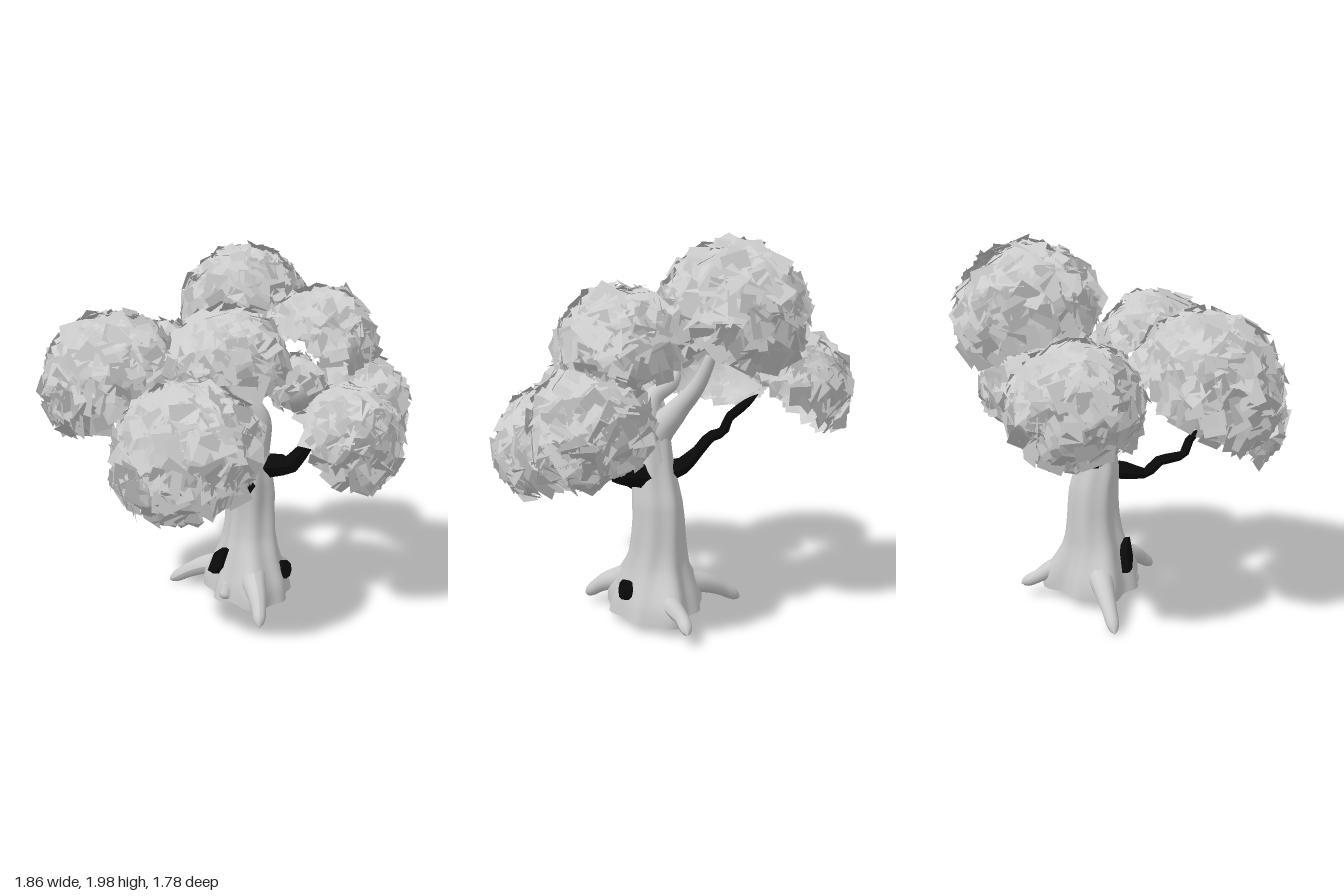
import * as THREE from 'three';
import { mergeGeometries } from 'three/addons/utils/BufferGeometryUtils.js';

const V = (a) => new THREE.Vector3(...a);
const grey = new THREE.MeshStandardMaterial({ color: 0xcccccc });
const leafGrey = new THREE.MeshStandardMaterial({ color: 0xcccccc, side: THREE.DoubleSide });
const black = new THREE.MeshStandardMaterial({ color: 0x0a0a0a });
const blackFlat = new THREE.MeshStandardMaterial({ color: 0x0a0a0a, flatShading: true });

// Small seeded generator
let seed = 7;
function rand(min = 0, max = 1) {
  seed = (seed * 16807) % 2147483647;
  return min + (max - min) * (seed / 2147483647);
}

// Linear lookup in evenly spaced values
function sample(list, t) {
  const f = Math.min(t, 0.99999) * (list.length - 1), i = Math.floor(f);
  return THREE.MathUtils.lerp(list[i], list[i + 1], f - i);
}

// Tapered tube through points, closed to a blunt tip; crooked ones keep their corners
function limb(name, points, radii, sides, material, crooked = false) {
  const curve = new THREE.CatmullRomCurve3(points.map(V), false, 'catmullrom', crooked ? 0.1 : 0.5);
  const segs = crooked ? (points.length - 1) * 3 : 24;
  const geo = new THREE.TubeGeometry(curve, segs, 1, sides);
  const pos = geo.attributes.position, p = new THREE.Vector3();
  for (let i = 0; i <= segs; i++) {
    const t = i / segs, c = curve.getPointAt(t);
    const r = sample(radii, t) * Math.min(1, Math.sqrt((1 - t) * 10));
    for (let j = 0; j <= sides; j++) {
      const k = i * (sides + 1) + j;
      p.fromBufferAttribute(pos, k).sub(c).multiplyScalar(Math.max(r, 0.0005)).add(c);
      pos.setXYZ(k, p.x, p.y, p.z);
    }
  }
  geo.computeVertexNormals();
  const mesh = new THREE.Mesh(geo, material);
  mesh.name = name;
  return mesh;
}

// Fluted trunk that swells towards each root
function makeTrunk() {
  const y0 = 0.08, y1 = 1.0;
  const radii = [0.22, 0.205, 0.18, 0.16, 0.145, 0.137, 0.133, 0.13, 0.122, 0.108, 0.095, 0.085];
  const cx = [0.09, 0.09, 0.085, 0.08, 0.075, 0.075, 0.075, 0.08, 0.085, 0.09, 0.09, 0.09];
  const cz = [-0.19, -0.19, -0.19, -0.19, -0.2, -0.205, -0.205, -0.2, -0.185, -0.18, -0.18, -0.18];
  const rootAngles = [3.02, 0.92, -1.57];
  const geo = new THREE.CylinderGeometry(1, 1, 1, 64, 30);
  const pos = geo.attributes.position;
  for (let i = 0; i < pos.count; i++) {
    const t = pos.getY(i) + 0.5, x = pos.getX(i), z = pos.getZ(i);
    const angle = Math.atan2(z, x), a = angle + 0.35 * t;
    const flute = 1 + (0.03 + 0.03 * (1 - t)) * Math.sin(7 * a + 0.6) + 0.03 * Math.sin(4 * a + 3 * t);
    let r = sample(radii, t) * flute;
    for (const ra of rootAngles) {
      const d = Math.atan2(Math.sin(angle - ra), Math.cos(angle - ra));
      r += 0.075 * Math.exp(-((d / 0.38) ** 2)) * Math.exp(-(((t - 0.07) / 0.18) ** 2));
    }
    pos.setXYZ(i, sample(cx, t) + x * r, y0 + (y1 - y0) * t, sample(cz, t) + z * r);
  }
  geo.computeVertexNormals();
  const mesh = new THREE.Mesh(geo, grey);
  mesh.name = 'trunk';
  return mesh;
}

// Flat dark opening lying on the bark
function hollow(name, outline, position, yaw, pitch) {
  const shape = new THREE.Shape(outline.map(([x, y]) => new THREE.Vector2(x, y)));
  const geo = new THREE.ExtrudeGeometry(shape, { depth: 0.04, bevelEnabled: false });
  const mesh = new THREE.Mesh(geo, black);
  mesh.name = name;
  mesh.position.set(...position);
  mesh.rotation.set(pitch, yaw, 0, 'YXZ');
  return mesh;
}

// Hollow tilted dome covered with overlapping square leaves
function clump(name, centre, r, axis, spread = 0.53) {
  const group = new THREE.Group();
  group.name = name;
  const shell = new THREE.Mesh(
    new THREE.SphereGeometry(r * 0.98, 28, 14, 0, Math.PI * 2, 0, Math.PI * spread), leafGrey);
  shell.name = 'leafDome';
  const cards = [], out = new THREE.Vector3(0, 0, 1), q = new THREE.Quaternion();
  const count = Math.round(3000 * r * r) + 30;
  const minCos = Math.cos(Math.PI * spread);
  for (let i = 0; i < count; i++) {
    const c = rand(minCos, 1), s = Math.sqrt(1 - c * c), a = rand(0, Math.PI * 2);
    const n = new THREE.Vector3(s * Math.cos(a), c, s * Math.sin(a));
    const size = rand(0.08, 0.135) * Math.min(1, 0.4 + r * 2);
    const card = new THREE.PlaneGeometry(size, size * rand(0.75, 1.1));
    card.rotateZ(rand(0, 6.28)).rotateX(rand(-0.45, 0.45)).rotateY(rand(-0.45, 0.45));
    card.applyQuaternion(q.setFromUnitVectors(out, n));
    const d = r * rand(0.98, 1.06);
    card.translate(n.x * d, n.y * d, n.z * d);
    cards.push(card);
  }
  const leaves = new THREE.Mesh(mergeGeometries(cards), leafGrey);
  leaves.name = 'leaves';
  group.add(shell, leaves);
  group.position.set(...centre);
  group.quaternion.setFromUnitVectors(new THREE.Vector3(0, 1, 0), V(axis).normalize());
  return group;
}

export function createModel() {
  const tree = new THREE.Group();
  tree.name = 'tree';
  tree.add(makeTrunk());

  // Roots
  const roots = [
    ['rightRoot', [[0.06, 0.26, -0.19], [-0.08, 0.2, -0.18], [-0.2, 0.17, -0.17], [-0.32, 0.11, -0.15], [-0.44, 0.03, -0.13]], [0.06, 0.075, 0.055, 0.04, 0.03]],
    ['frontRoot', [[0.12, 0.28, -0.15], [0.2, 0.21, -0.04], [0.27, 0.17, 0.04], [0.32, 0.12, 0.1], [0.36, 0.06, 0.16]], [0.05, 0.075, 0.058, 0.04, 0.028]],
    ['backRoot', [[0.08, 0.26, -0.22], [0.08, 0.2, -0.34], [0.09, 0.18, -0.43], [0.07, 0.14, -0.52], [0.08, 0.1, -0.61]], [0.06, 0.075, 0.052, 0.036, 0.03]],
    ['smallFrontRoot', [[0.04, 0.24, -0.06], [0.05, 0.15, -0.01], [0.05, 0.09, 0.03]], [0.03, 0.045, 0.03]],
  ];
  for (const [name, pts, radii] of roots) tree.add(limb(name, pts, radii, 12, grey));

  // Pale limbs growing out of the trunk
  tree.add(
    limb('backLimb', [[0.09, 0.85, -0.18], [0.08, 1.0, -0.18], [0.0, 1.13, -0.25], [-0.08, 1.28, -0.35], [-0.14, 1.5, -0.44]], [0.1, 0.08, 0.05, 0.035, 0.02], 14, grey),
    limb('frontLimb', [[0.09, 0.88, -0.18], [0.13, 1.08, -0.17], [0.07, 1.18, -0.1], [-0.07, 1.24, -0.02], [-0.15, 1.3, 0.1]], [0.1, 0.08, 0.05, 0.042, 0.03], 12, grey));

  // Crooked dark branches
  const branches = [
    ['frontBranch', [[0.12, 0.73, -0.14], [0.12, 0.73, -0.05], [0.13, 0.7, 0.09], [0.14, 0.77, 0.17], [0.13, 0.8, 0.3], [0.15, 0.89, 0.34], [0.16, 0.95, 0.42]], [0.055, 0.05, 0.03, 0.03, 0.026, 0.024, 0.015]],
    ['rightBranch', [[0.05, 0.81, -0.2], [-0.06, 0.84, -0.21], [-0.13, 0.91, -0.23], [-0.21, 0.98, -0.21], [-0.28, 1.0, -0.22], [-0.31, 1.08, -0.23], [-0.45, 1.2, -0.28]], [0.06, 0.045, 0.03, 0.03, 0.025, 0.025, 0.015]],
    ['leftBranch', [[0.1, 0.8, -0.2], [0.2, 0.82, -0.22], [0.29, 0.83, -0.26], [0.36, 0.92, -0.28], [0.43, 1.08, -0.31]], [0.08, 0.065, 0.05, 0.035, 0.02]],
  ];
  for (const [name, pts, radii] of branches) tree.add(limb(name, pts, radii, 6, blackFlat, true));

  // Dark openings in the bark
  tree.add(hollow('frontHollow',
    [[-0.065, -0.08], [-0.01, -0.08], [0.045, -0.03], [0.06, 0.08], [0.035, 0.085], [-0.035, 0.03]],
    [-0.01, 0.28, -0.05], -0.4, -0.22));
  const ring = Array.from({ length: 8 }, (_, i) => {
    const a = (i + 0.5) * Math.PI / 4;
    return [0.053 * Math.cos(a), 0.05 * Math.sin(a)];
  });
  tree.add(hollow('sideHollow', ring, [0.25, 0.22, -0.245], Math.PI / 2, -0.2));

  // Crown
  const crown = new THREE.Group();
  crown.name = 'crown';
  crown.add(
    clump('frontClump', [0.16, 1.02, 0.49], 0.34, [0, 0.77, 0.64]),
    clump('frontRightClump', [-0.44, 1.28, 0.3], 0.35, [-0.35, 0.8, 0.48]),
    clump('middleClump', [0.14, 1.4, 0.14], 0.28, [0.05, 0.95, 0.3]),
    clump('backRightClump', [-0.6, 1.23, -0.32], 0.29, [-0.65, 0.75, -0.12]),
    clump('leftClump', [0.61, 1.01, -0.25], 0.27, [0.74, 0.65, 0.05]),
    clump('topClump', [-0.17, 1.61, -0.52], 0.335, [-0.05, 0.93, -0.3], 0.58),
    clump('backLeftClump', [0.35, 1.47, -0.44], 0.28, [0.35, 0.85, -0.35]),
    clump('lowBackLeftClump', [0.52, 1.13, -0.53], 0.27, [0.55, 0.6, -0.55]),
    clump('smallClump', [0.38, 1.3, -0.14], 0.14, [0.4, 0.85, 0.2], 0.75));
  tree.add(crown);
  return tree;
}
